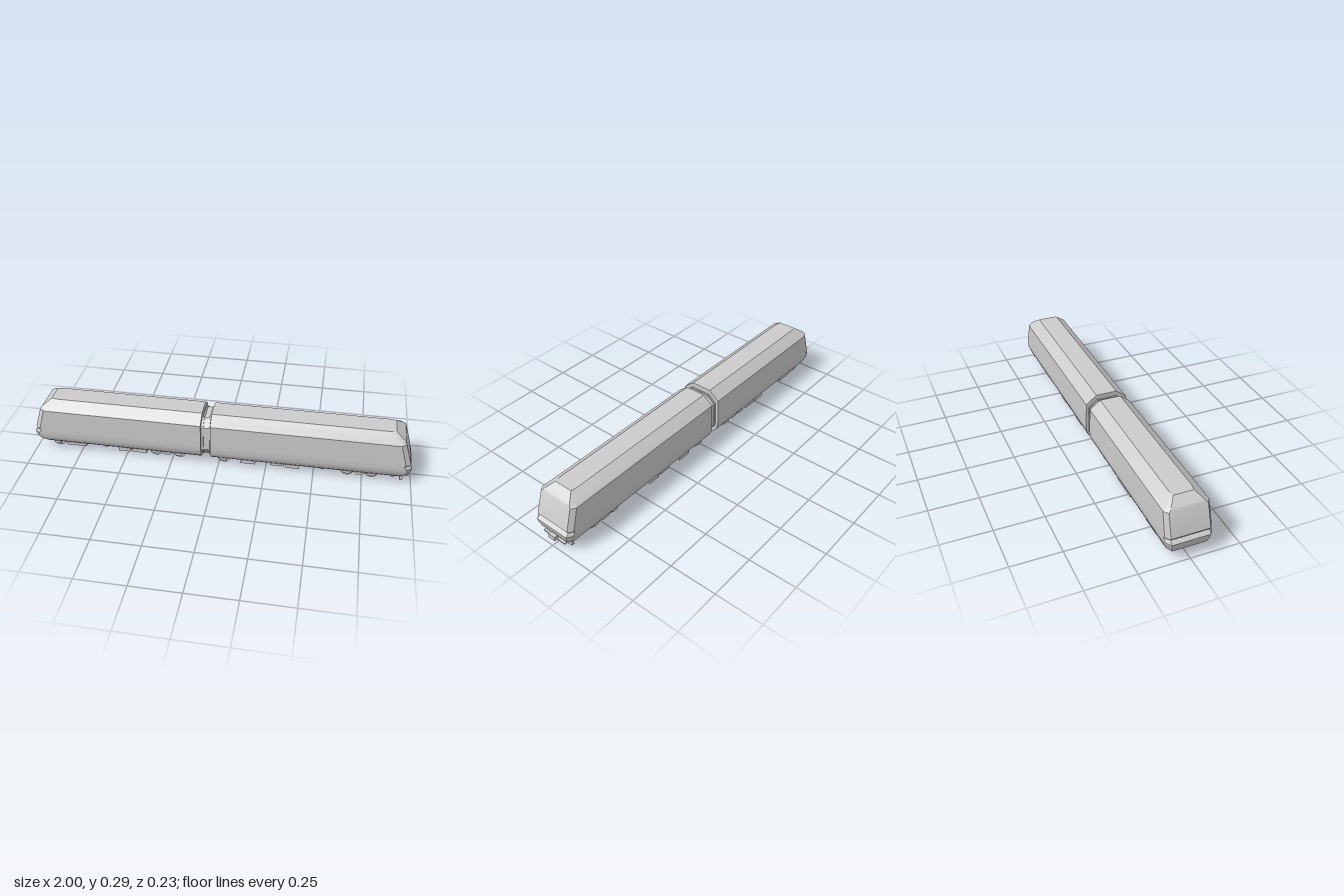
import * as THREE from 'three';
import { toCreasedNormals } from 'three/addons/utils/BufferGeometryUtils.js';

const material = new THREE.MeshStandardMaterial({ color: 0xcccccc });

// Body levels, bottom to top: height, half width, half width at nose, nose setback, corner depth
const LEVELS = [
  [0.042, 0.085, 0.072, 0.035, 0.03],
  [0.057, 0.099, 0.084, 0.016, 0.03],
  [0.085, 0.111, 0.091, 0.005, 0.028],
  [0.107, 0.113, 0.095, 0.001, 0.026],
  [0.123, 0.114, 0.095, 0.018, 0.026],
  [0.135, 0.114, 0.096, 0.010, 0.026],
  [0.25, 0.111, 0.094, 0.046, 0.024],
  [0.262, 0.097, 0.083, 0.054, 0.027],
  [0.295, 0.055, 0.05, 0.1, 0.035],
];

function mesh(parent, name, geometry, x = 0, y = 0, z = 0) {
  const m = new THREE.Mesh(geometry, material);
  m.name = name;
  m.position.set(x, y, z);
  parent.add(m);
  return m;
}

// Box given by its extents in x and y, with centre and width in z
function box(parent, name, x0, x1, y0, y1, z, width) {
  return mesh(parent, name, new THREE.BoxGeometry(x1 - x0, y1 - y0, width), (x0 + x1) / 2, (y0 + y1) / 2, z);
}

// Stacked horizontal outlines, flat at the inner end and chamfered at the nose
function bodyGeometry(inner, outer) {
  const pos = [], index = [], n = 6;
  for (const [y, w, nose, setback, corner] of LEVELS) {
    const end = outer - setback;
    const half = [[inner, w], [end - corner, w], [end, nose]];
    for (const [x, z] of half) pos.push(x, y, z);
    for (const [x, z] of half.reverse()) pos.push(x, y, -z);
  }
  for (let l = 0; l < LEVELS.length - 1; l++) {
    for (let i = 0; i < n; i++) {
      const a = l * n + i, b = l * n + (i + 1) % n;
      index.push(a, b, b + n, a, b + n, a + n);
    }
  }
  const top = (LEVELS.length - 1) * n;
  for (let i = 1; i < n - 1; i++) {
    index.push(0, i + 1, i, top, top + i, top + i + 1);
  }
  const g = new THREE.BufferGeometry();
  g.setAttribute('position', new THREE.Float32BufferAttribute(pos, 3));
  g.setIndex(index);
  return toCreasedNormals(g, 0.35);
}

// Bellows outline, sharing the body's chamfered section at a smaller size
function bellowsGeometry(length, scale) {
  const s = new THREE.Shape();
  const pts = [[0.07, 0.05], [0.1, 0.09], [0.1, 0.235], [0.055, 0.272]];
  const all = [...pts, ...pts.map(([z, y]) => [-z, y]).reverse()];
  s.setFromPoints(all.map(([z, y]) => new THREE.Vector2(z * scale, 0.16 + (y - 0.16) * scale)));
  const g = new THREE.ExtrudeGeometry(s, { depth: length, bevelEnabled: false });
  return g.translate(0, 0, -length / 2).rotateY(Math.PI / 2);
}

function cylinderZ(r, width, sides = 24) {
  return new THREE.CylinderGeometry(r, r, width, sides).rotateX(Math.PI / 2);
}

function addAxle(parent, x) {
  const axle = new THREE.Group();
  axle.name = 'axle';
  parent.add(axle);
  mesh(axle, 'axleShaft', cylinderZ(0.008, 0.15, 12), x, 0.035, 0);
  for (const s of [-1, 1]) {
    mesh(axle, 'wheel', cylinderZ(0.035, 0.014), x, 0.035, s * 0.055);
    mesh(axle, 'wheelHub', cylinderZ(0.016, 0.008, 16), x, 0.035, s * 0.066);
    box(axle, 'axleBox', x - 0.016, x + 0.016, 0.025, 0.05, s * 0.077, 0.014);
  }
}

// Two-axle bogie with side frames that dip at the axles
function addBogie(parent, x) {
  const bogie = new THREE.Group();
  bogie.name = 'bogie';
  parent.add(bogie);
  const half = [[0.015, 0.024], [0.032, 0.038], [0.048, 0.028], [0.08, 0.028], [0.092, 0.042], [0.113, 0.044], [0.113, 0.058]];
  const pts = [...half, ...half.map(([u, y]) => [-u, y]).reverse()];
  const side = new THREE.Shape(pts.map(([u, y]) => new THREE.Vector2(u, y)));
  const frame = new THREE.ExtrudeGeometry(side, { depth: 0.012, bevelEnabled: false });
  for (const s of [-1, 1]) {
    addAxle(bogie, x + s * 0.064);
    mesh(bogie, 'sideFrame', frame, x, 0, s * 0.077 - 0.006);
  }
  box(bogie, 'bolster', x - 0.025, x + 0.025, 0.028, 0.05, 0, 0.15);
}

export function createModel() {
  const train = new THREE.Group();
  train.name = 'articulatedTrain';

  // Car bodies, the left one turned end for end
  mesh(train, 'frontCarBody', bodyGeometry(-0.04, 0.994));
  mesh(train, 'rearCarBody', bodyGeometry(0.09, 1)).rotation.y = Math.PI;

  // Flexible joint between the cars
  mesh(train, 'bellows', bellowsGeometry(0.06, 0.95), -0.065);
  for (const x of [-0.082, -0.048]) mesh(train, 'bellowsRib', bellowsGeometry(0.008, 1), x);

  // Running gear
  addBogie(train, 0.735);
  addBogie(train, -0.278);
  addAxle(train, 0.025);
  addAxle(train, -0.885);

  // Equipment cases along both sides: start, end, bottom
  const cases = [
    [-0.835, -0.725, 0.025], [-0.545, -0.48, 0.02], [-0.47, -0.39, 0.021],
    [0.115, 0.195, 0.021], [0.275, 0.345, 0.028], [0.355, 0.425, 0.021],
  ];
  for (const [x0, x1, bottom] of cases) {
    for (const s of [-1, 1]) box(train, 'equipmentCase', x0, x1, bottom, 0.06, s * 0.063, 0.045);
  }

  // Low underfloor trays and brackets
  for (const [x0, x1] of [[-0.92, -0.7], [-0.56, -0.16], [-0.02, 0.51], [0.61, 0.91]]) {
    box(train, 'underframe', x0, x1, 0.036, 0.045, 0, 0.13);
  }
  for (const x of [-0.615, 0.545, 0.905]) {
    for (const s of [-1, 1]) box(train, 'bracket', x - 0.009, x + 0.009, 0.028, 0.05, s * 0.065, 0.02);
  }

  // Nose equipment
  box(train, 'obstacleDeflector', 0.94, 0.955, 0.018, 0.046, 0, 0.166);
  box(train, 'couplerShelf', 0.93, 0.985, 0.04, 0.046, 0, 0.14);
  box(train, 'coupler', 0.95, 1, 0.042, 0.064, 0, 0.04);

  return train;
}
